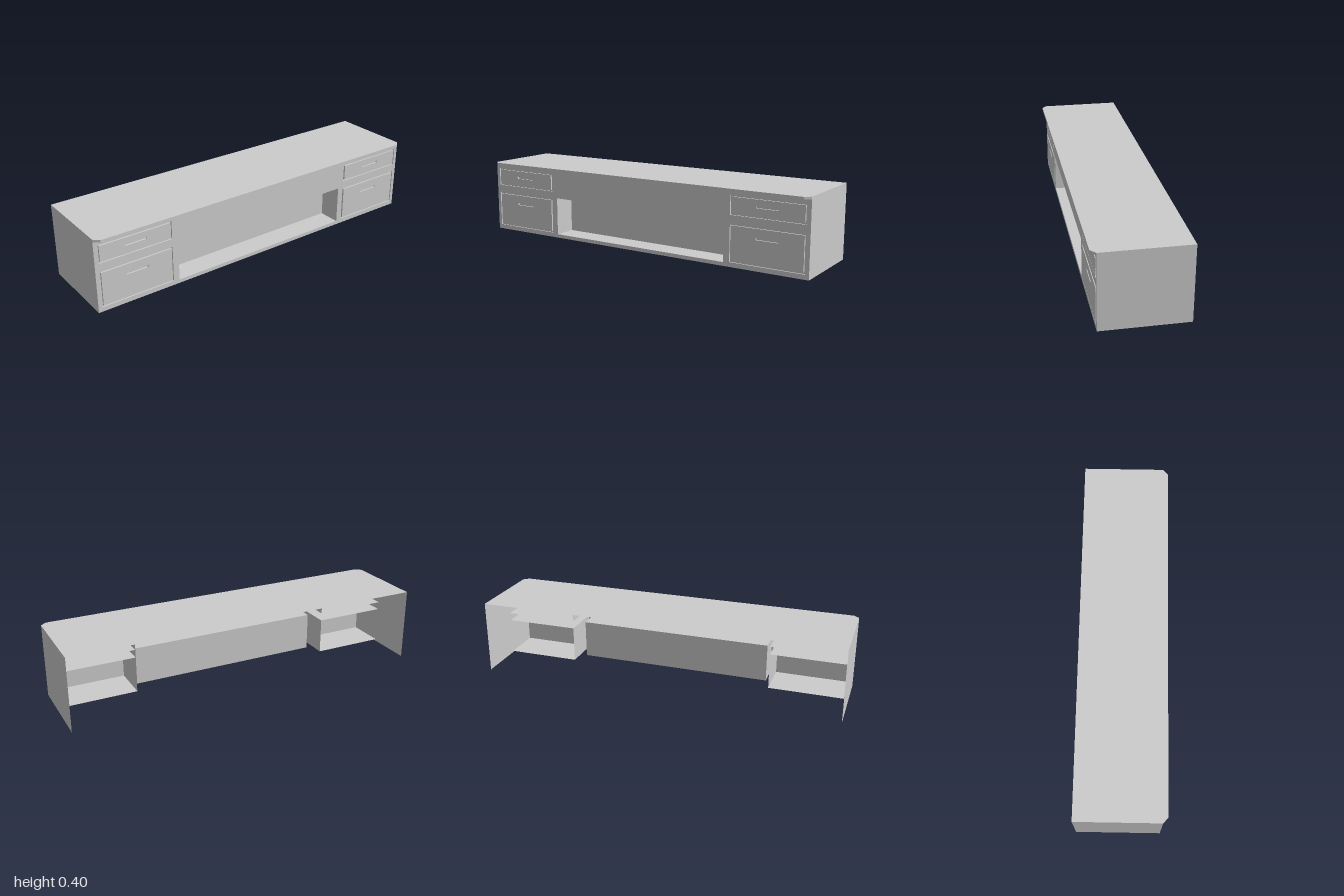
import * as THREE from 'three';

const BACK = -0.237, FRONT = 0.211, LIP = 0.237, TOP = 0.403, LIP_BOTTOM = 0.39;
const material = new THREE.MeshStandardMaterial({ color: 0xcccccc, flatShading: true, side: THREE.DoubleSide });

function add(parent, name, geometry, x = 0, y = 0, z = 0) {
  const mesh = new THREE.Mesh(geometry, material);
  mesh.name = name;
  mesh.position.set(x, y, z);
  parent.add(mesh);
  return mesh;
}

// Trace a rectangle [x0, x1, y0, y1] onto a shape or hole path
function trace(path, [x0, x1, y0, y1]) {
  path.moveTo(x0, y0);
  path.lineTo(x1, y0);
  path.lineTo(x1, y1);
  path.lineTo(x0, y1);
  path.closePath();
  return path;
}

function panelShape(rect, holes = []) {
  const shape = trace(new THREE.Shape(), rect);
  shape.holes = holes.map((hole) => trace(new THREE.Path(), hole));
  return shape;
}

// Four thin walls running from zBack to zFront around a rectangle
function addWalls(parent, name, [x0, x1, y0, y1], zBack, zFront) {
  const depth = zFront - zBack, z = (zFront + zBack) / 2;
  for (const y of [y0, y1]) {
    add(parent, name, new THREE.PlaneGeometry(x1 - x0, depth), (x0 + x1) / 2, y, z)
      .rotation.x = y === y0 ? -Math.PI / 2 : Math.PI / 2;
  }
  for (const x of [x0, x1]) {
    add(parent, name, new THREE.PlaneGeometry(depth, y1 - y0), x, (y0 + y1) / 2, z)
      .rotation.y = x === x0 ? Math.PI / 2 : -Math.PI / 2;
  }
}

const mirrored = ([x0, x1, y0, y1]) => [-x1, -x0, y0, y1];

export function createModel() {
  const model = new THREE.Group();
  model.name = 'lowCabinet';

  const niche = [-0.54, 0.54, 0.02, 0.23];
  const drawers = [
    { name: 'upperDrawer', rect: [0.574, 0.98, 0.267, 0.368], slotY: 0.322 },
    { name: 'lowerDrawer', rect: [0.574, 0.98, 0.025, 0.223], slotY: 0.164 },
  ];

  // Front panel with openings for the niche and four drawers
  const openings = [niche];
  for (const { rect } of drawers) openings.push(rect, mirrored(rect));
  add(model, 'frontPanel', new THREE.ShapeGeometry(panelShape([-1, 1, 0, TOP - 0.002], openings)), 0, 0, FRONT);

  // End panels
  for (const side of [-1, 1]) {
    add(model, 'endPanel', new THREE.PlaneGeometry(FRONT - BACK, TOP), side, TOP / 2, (FRONT + BACK) / 2)
      .rotation.y = side * Math.PI / 2;
  }

  // Thin top sheet
  add(model, 'top', new THREE.PlaneGeometry(2, FRONT - BACK), 0, TOP, (FRONT + BACK) / 2)
    .rotation.x = -Math.PI / 2;

  // Overhanging front lip with clipped corners
  const lip = new THREE.Shape();
  lip.moveTo(-1, -FRONT);
  lip.lineTo(-0.97, -LIP);
  lip.lineTo(0.97, -LIP);
  lip.lineTo(1, -FRONT);
  lip.closePath();
  add(model, 'topLip', new THREE.ExtrudeGeometry(lip, { depth: TOP - LIP_BOTTOM, bevelEnabled: false }), 0, LIP_BOTTOM, 0)
    .rotation.x = -Math.PI / 2;

  // Open shelf niche
  const nicheGroup = new THREE.Group();
  nicheGroup.name = 'niche';
  addWalls(nicheGroup, 'nicheWall', niche, 0.085, FRONT);
  add(nicheGroup, 'nicheBack', new THREE.ShapeGeometry(panelShape(niche)), 0, 0, 0.085);
  model.add(nicheGroup);

  // Drawers: walls open to the rear, a grooved front and a recessed pull
  for (const { name, rect, slotY } of drawers) {
    for (const r of [rect, mirrored(rect)]) {
      const drawer = new THREE.Group();
      drawer.name = name;
      addWalls(drawer, 'drawerWall', r, -0.01, FRONT);
      add(drawer, 'grooveBack', new THREE.ShapeGeometry(panelShape(r)), 0, 0, 0.203);
      const gap = 0.008, cx = (r[0] + r[1]) / 2;
      const face = [r[0] + gap, r[1] - gap, r[2] + gap, r[3] - gap];
      const slot = [cx - 0.06, cx + 0.06, slotY - 0.006, slotY + 0.006];
      add(drawer, 'drawerFront', new THREE.ExtrudeGeometry(panelShape(face, [slot]),
        { depth: 0.009, bevelEnabled: false }), 0, 0, 0.2035);
      model.add(drawer);
    }
  }
  return model;
}
